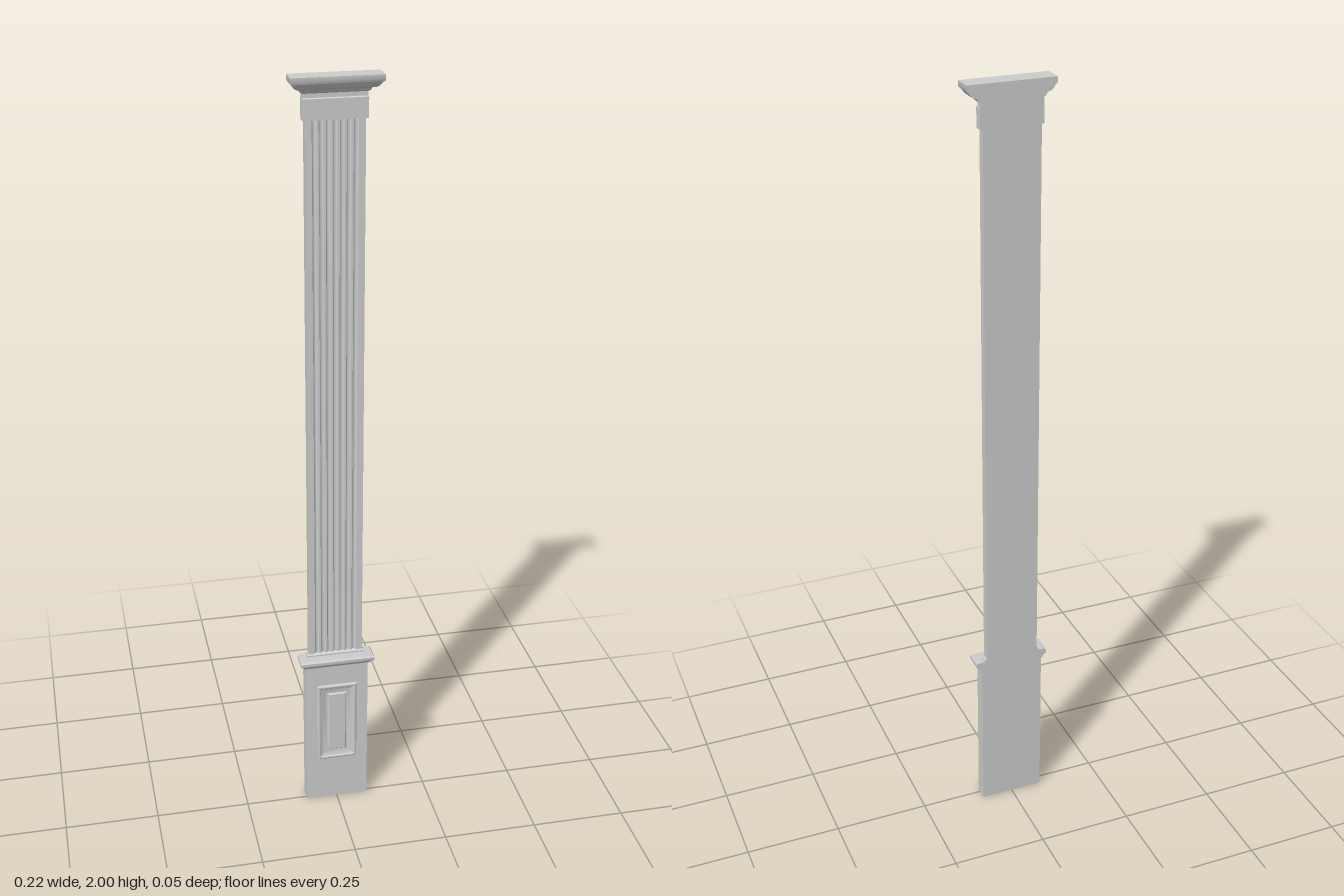
import * as THREE from 'three';
import { toCreasedNormals } from 'three/addons/utils/BufferGeometryUtils.js';

const BACK = -0.027;
const material = new THREE.MeshStandardMaterial({ color: 0xcccccc });

// Skins a series of four-cornered loops and caps both ends
function loft(loops) {
  const pos = [];
  const quad = (a, b, c, d) => pos.push(...a, ...b, ...c, ...a, ...c, ...d);
  for (let k = 0; k < loops.length - 1; k++) {
    const a = loops[k], b = loops[k + 1];
    for (let i = 0; i < 4; i++) {
      const j = (i + 1) % 4;
      quad(a[i], a[j], b[j], b[i]);
    }
  }
  const first = loops[0], last = loops[loops.length - 1];
  quad(first[3], first[2], first[1], first[0]);
  quad(last[0], last[1], last[2], last[3]);
  const geometry = new THREE.BufferGeometry();
  geometry.setAttribute('position', new THREE.Float32BufferAttribute(pos, 3));
  return toCreasedNormals(geometry, 0.6);
}

// Moulding mitred round the front and sides; profile rows are [projection, y]
function moulding(halfWidth, front, profile) {
  return loft(profile.map(([out, y]) => {
    const w = halfWidth + out, f = front + out;
    return [[-w, y, f], [w, y, f], [w, y, BACK], [-w, y, BACK]];
  }));
}

// Framed panel facing +z; profile rows are [inset, z]
function panel(halfWidth, bottom, top, profile) {
  return loft(profile.map(([inset, z]) => {
    const w = halfWidth - inset, b = bottom + inset, t = top - inset;
    return [[-w, b, z], [w, b, z], [w, t, z], [-w, t, z]];
  }));
}

// Fluted pilaster cross-section raised to its full height
function flutedShaft(halfWidth, front, bottom, top) {
  const flutes = 7, pitch = 0.0165, radius = 0.0062, depth = 0.006;
  const s = new THREE.Shape();
  s.moveTo(-halfWidth, -BACK);
  s.lineTo(halfWidth, -BACK);
  s.lineTo(halfWidth, -front);
  for (let i = flutes - 1; i >= 0; i--) {
    const cx = (i - (flutes - 1) / 2) * pitch;
    for (let k = 0; k <= 8; k++) {
      const a = (k / 8) * Math.PI;
      s.lineTo(cx + radius * Math.cos(a), -front + depth * Math.sin(a));
    }
  }
  s.lineTo(-halfWidth, -front);
  s.closePath();
  const g = new THREE.ExtrudeGeometry(s, { depth: top - bottom, bevelEnabled: false });
  g.rotateX(-Math.PI / 2).translate(0, bottom, 0);
  return toCreasedNormals(g, 0.6);
}

export function createModel() {
  const group = new THREE.Group();
  const add = (name, geometry) => {
    const mesh = new THREE.Mesh(geometry, material);
    mesh.name = name;
    group.add(mesh);
  };

  // Plinth block with its raised panel
  add('plinth', moulding(0.085, 0.01, [[0, 0], [0, 0.43]]));
  add('plinthPanel', panel(0.054, 0.132, 0.37, [
    [0, 0.0095], [0, 0.014], [0.003, 0.0165], [0.007, 0.0165], [0.01, 0.0135],
    [0.014, 0.0125], [0.017, 0.0105], [0.028, 0.0105], [0.031, 0.0135],
  ]));

  // Cap moulding of the plinth
  add('plinthCap', moulding(0.085, 0.01, [
    [0, 0.428], [0.004, 0.43], [0.006, 0.434], [0.009, 0.438], [0.014, 0.441],
    [0.015, 0.444], [0.015, 0.451], [0.012, 0.455], [0, 0.456],
  ]));
  add('shaftBase', moulding(0.077, -0.003, [[0, 0.455], [0, 0.46], [-0.004, 0.464]]));

  // Fluted shaft
  add('shaft', flutedShaft(0.072, -0.006, 0.455, 1.905));

  // Frieze band and crown at the top
  add('frieze', moulding(0.078, -0.003, [[0, 1.896], [0, 1.945], [-0.002, 1.947]]));
  add('crown', moulding(0.078, -0.007, [
    [-0.001, 1.945], [-0.001, 1.957], [0.004, 1.96], [0.006, 1.965], [0.008, 1.967],
    [0.015, 1.969], [0.021, 1.973], [0.025, 1.979], [0.028, 1.983], [0.03, 1.984],
    [0.032, 1.988], [0.032, 2],
  ]));
  return group;
}
